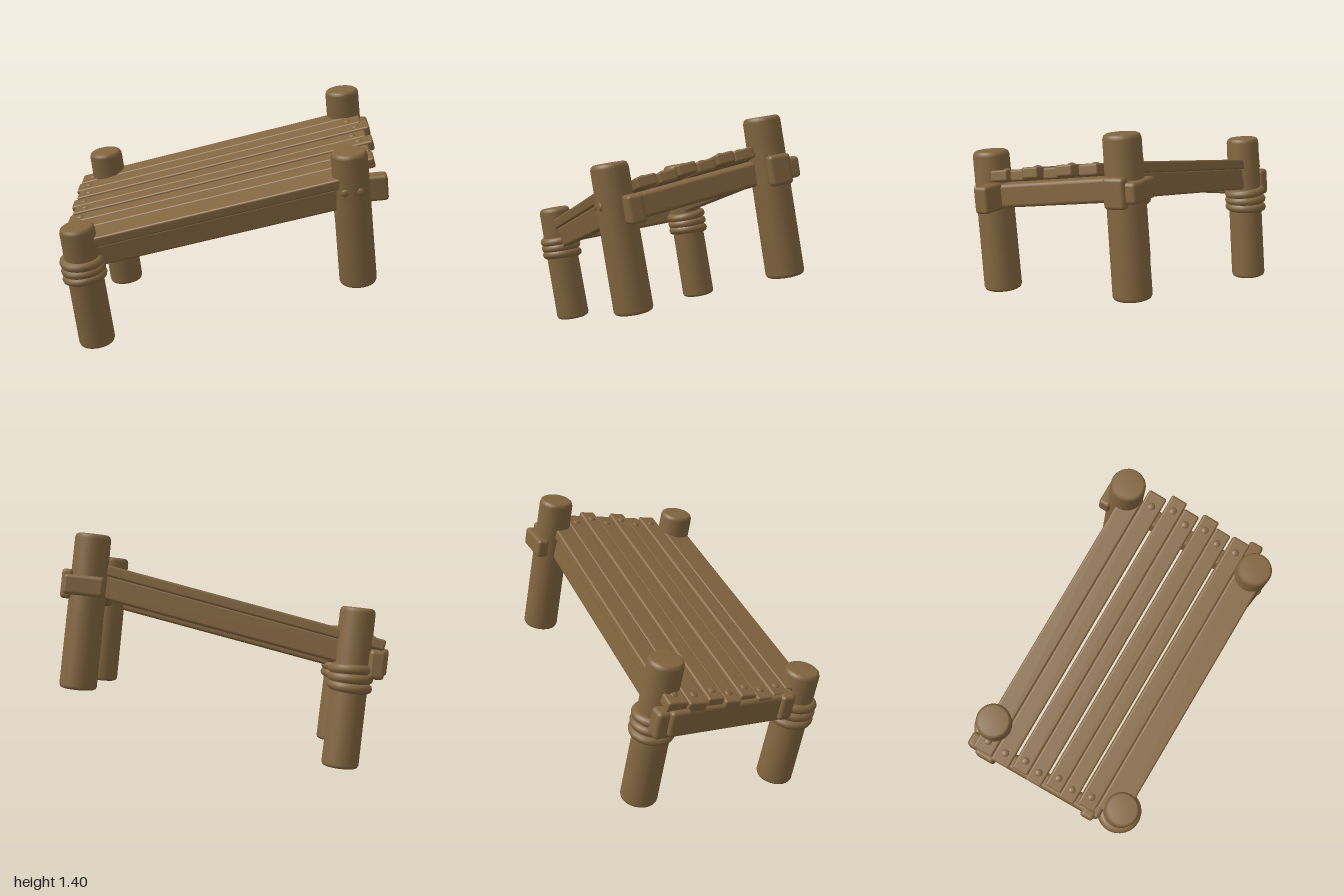
import * as THREE from 'three';
import { RoundedBoxGeometry } from 'three/addons/geometries/RoundedBoxGeometry.js';

export function createModel() {
  const wood = new THREE.MeshStandardMaterial({ color: 0x82653f });
  wood.name = 'brown wood';

  const model = new THREE.Group();
  model.name = 'woodenDock';
  // the dock frame is yawed, then leaned forward
  const dock = new THREE.Group();
  dock.name = 'dock';
  dock.rotation.set(0.177, 0.68, 0);
  model.add(dock);

  function add(parent, name, geometry, x, y, z) {
    const mesh = new THREE.Mesh(geometry, wood);
    mesh.name = name;
    mesh.position.set(x, y, z);
    parent.add(mesh);
    return mesh;
  }
  const block = (w, h, d, r = 0.015) => new RoundedBoxGeometry(w, h, d, 3, r);

  // round posts with softened rims: x, z, bottom, top
  function post(name, x, z, bottom, top) {
    const h = top - bottom;
    const profile = [[0, 0], [0.085, 0], [0.097, 0.006], [0.103, 0.02], [0.101, h * 0.5],
      [0.098, h - 0.025], [0.092, h - 0.008], [0.08, h], [0, h]];
    add(dock, name, new THREE.LatheGeometry(profile.map(p => new THREE.Vector2(...p)), 28), x, bottom, z);
  }
  post('frontPost', -0.688, 0.354, 0.14, 0.865);
  post('leftPost', -0.63, -0.506, 0.115, 1.0);
  post('rightPost', 0.822, 0.333, 0.366, 1.137);
  post('backPost', 0.853, -0.511, 0.388, 1.237);

  // rope coils on the two low posts
  for (const [x, z] of [[-0.69, 0.352], [-0.63, -0.508]]) {
    for (let i = 0; i < 3; i++) {
      const coil = add(dock, 'ropeCoil', new THREE.TorusGeometry(0.1, 0.027, 10, 32), x, 0.565 + i * 0.047, z);
      coil.rotation.x = Math.PI / 2 + (i - 1) * 0.05;
      coil.rotation.y = (1 - i) * 0.04;
    }
  }

  // beams across both ends: the low one outside its posts, the high one between them
  add(dock, 'lowCrossBeam', block(0.09, 0.16, 0.86, 0.022), -0.757, 0.7, -0.165);
  const high = add(dock, 'highCrossBeam', block(0.1, 0.13, 0.78, 0.022), 0.84, 0.925, -0.1);
  high.rotation.x = 0.08;

  // beam stubs and lashing blocks around the posts
  add(dock, 'rightBeamStub', block(0.2, 0.145, 0.085, 0.018), 0.92, 0.898, 0.28);
  add(dock, 'backLashing', block(0.22, 0.11, 0.07, 0.02), 0.865, 0.955, -0.6);
  add(dock, 'backLashingCap', block(0.06, 0.16, 0.12, 0.02), 0.965, 0.955, -0.52);
  add(dock, 'leftLashing', block(0.06, 0.15, 0.12, 0.02), -0.795, 0.715, -0.47);
  add(dock, 'frontLashing', block(0.06, 0.15, 0.08, 0.02), -0.795, 0.71, 0.2);

  // sloping deck, with its top surface at y = 0
  const deck = new THREE.Group();
  deck.name = 'deck';
  deck.position.y = 0.92;
  deck.rotation.set(0.08, 0, 0.154);
  dock.add(deck);

  const nailGeometry = new THREE.SphereGeometry(0.022, 12, 6, 0, Math.PI * 2, 0, Math.PI / 2);
  nailGeometry.scale(1, 0.5, 1);

  // split planks, two boards each: z from, z to, low end, high end, lift
  const boards = [
    [-0.54, -0.42, -0.81, 0.88, 0],
    [-0.42, -0.307, -0.82, 0.95, 0],
    [-0.293, -0.195, -0.8, 0.99, 0.004],
    [-0.195, -0.097, -0.82, 0.96, -0.004],
    [-0.083, 0.017, -0.79, 0.99, 0.004],
    [0.017, 0.113, -0.81, 0.96, -0.004],
    [0.127, 0.235, -0.79, 0.97, 0],
    [0.235, 0.4, -0.75, 0.86, 0],
  ];
  for (const [z0, z1, x0, x1, lift] of boards) {
    const zc = (z0 + z1) / 2;
    add(deck, 'plank', block(x1 - x0, 0.06, z1 - z0, 0.012), (x0 + x1) / 2, lift - 0.03, zc);
    for (const x of [x0 + 0.07, x1 - 0.08])
      add(deck, 'nail', nailGeometry, x, lift - 0.002, zc);
  }

  // long side beams under the outer planks
  for (const z of [-0.49, 0.35])
    add(deck, 'sideBeam', block(1.55, 0.13, 0.07), 0.08, -0.12, z);

  // bolts on the side of the right post
  for (const dx of [-0.04, 0.04])
    add(dock, 'bolt', nailGeometry, 0.822 + dx, 0.93, 0.422).rotation.x = Math.PI / 2;

  return model;
}
